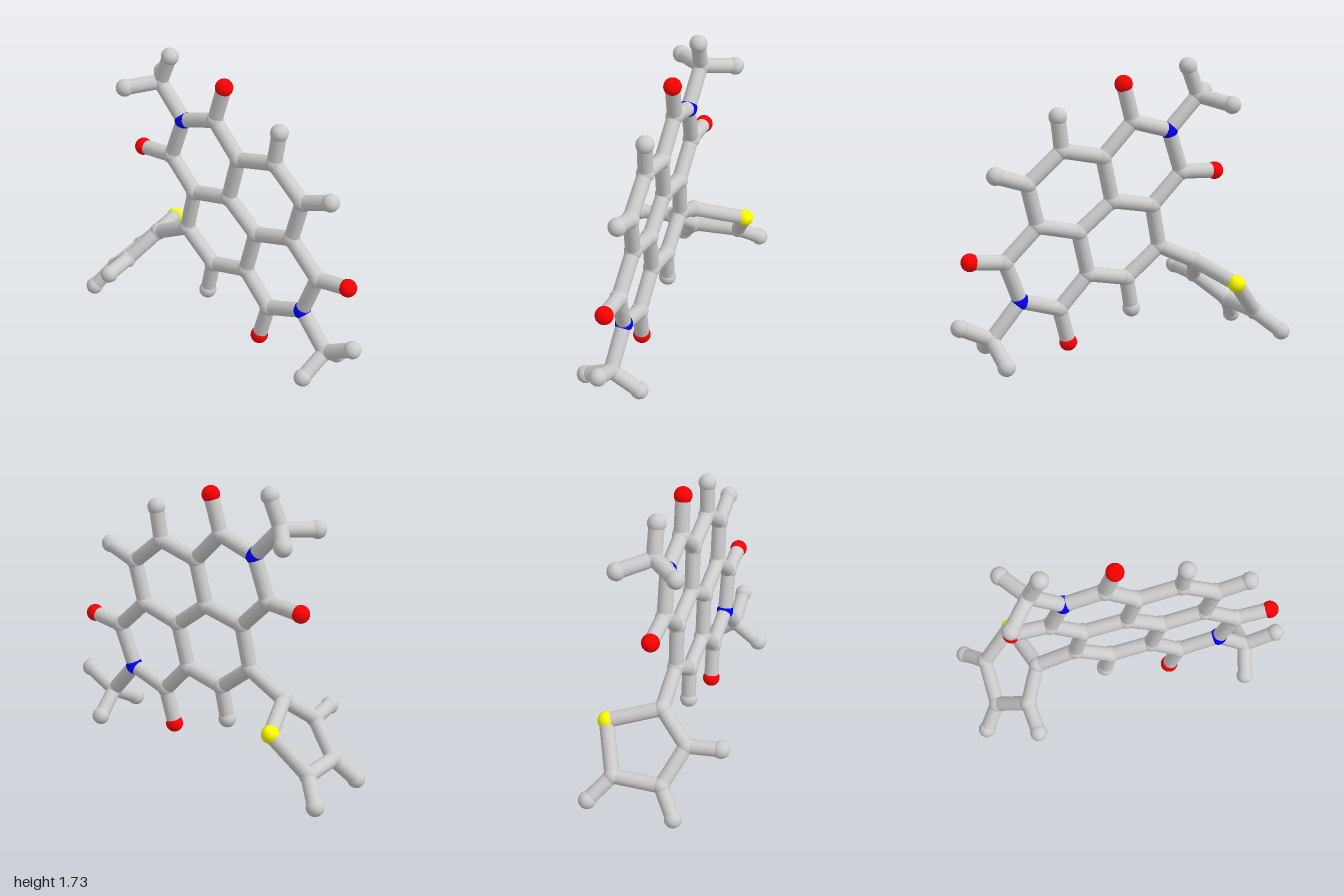
import * as THREE from 'three';

const ATOM_R = 0.051, BOND_R = 0.043;

// The fused ring system lies in one slightly tilted plane
const planeZ = (x, y) => -0.054 - 0.055 * x - 0.038 * y;

// name: [x, y, z?]; without z the atom sits in the ring plane.
// First letter: C carbon, H hydrogen, N nitrogen, O oxygen, S sulphur
const ATOMS = {
  // upper imide ring
  N1: [-0.32, 1.325], C2: [-0.09, 1.40], O2: [-0.03, 1.62], C3: [-0.405, 1.07], O3: [-0.625, 1.05],
  // central rings
  C4: [0.09, 1.215], C5: [0.34, 1.28], H5: [0.365, 1.475], C6: [0.545, 1.11], H6: [0.73, 1.18],
  C7: [0.485, 0.86], C8: [0.235, 0.79], C9: [0.03, 0.95], C10: [-0.225, 0.89],
  C11: [-0.275, 0.635], C12: [-0.07, 0.47], H12: [-0.105, 0.275], C13: [0.175, 0.53],
  // lower imide ring
  C14: [0.68, 0.675], O14: [0.885, 0.705], N2: [0.59, 0.43], C15: [0.35, 0.345], O15: [0.295, 0.13],
  // upper methyl
  C16: [-0.50, 1.51], H16a: [-0.43, 1.685, -0.095], H16b: [-0.615, 1.492, 0.087], H16c: [-0.638, 1.475, -0.24],
  // lower methyl
  C17: [0.765, 0.225], H17a: [0.95, 0.325, -0.116], H17b: [0.747, 0.128, 0.064], H17c: [0.73, 0.112, -0.26],
  // five-sided side ring, twisted out of the plane
  C18: [-0.51, 0.51, -0.05], S1: [-0.645, 0.44, -0.334], C19: [-0.595, 0.36, 0.13], H19: [-0.554, 0.362, 0.322],
  C20: [-0.785, 0.195, 0.055], H20: [-0.87, 0.055, 0.162], C21: [-0.825, 0.21, -0.225], H21: [-0.952, 0.10, -0.325],
};

// Each chain bonds neighbouring atoms
const CHAINS = {
  upperImideRing: 'C4 C2 N1 C3 C10 C9 C4',
  upperRing: 'C4 C5 C6 C7 C8 C9',
  lowerRing: 'C10 C11 C12 C13 C8',
  lowerImideRing: 'C7 C14 N2 C15 C13',
  sideRing: 'C18 S1 C21 C20 C19 C18',
  sideRingLink: 'C11 C18',
  upperMethyl: 'N1 C16 H16a,C16 H16b,C16 H16c',
  lowerMethyl: 'N2 C17 H17a,C17 H17b,C17 H17c',
  oxygenBonds: 'C2 O2,C3 O3,C14 O14,C15 O15',
  hydrogenBonds: 'C5 H5,C6 H6,C12 H12,C19 H19,C20 H20,C21 H21',
};

const ELEMENTS = {
  C: ['carbon', 0xcccccc], H: ['hydrogen', 0xcccccc],
  N: ['nitrogen', 0x0000ff], O: ['oxygen', 0xff0000], S: ['sulphur', 0xffff00],
};

export function createModel() {
  const model = new THREE.Group();
  model.name = 'molecule';
  const grey = new THREE.MeshStandardMaterial({ color: 0xcccccc });
  const materials = {};
  for (const [key, [, color]] of Object.entries(ELEMENTS)) {
    materials[key] = color === 0xcccccc ? grey : new THREE.MeshStandardMaterial({ color });
  }

  // Atoms: equal balls, slightly thicker than the bonds
  const ball = new THREE.SphereGeometry(ATOM_R, 24, 16);
  const points = {};
  const atoms = new THREE.Group();
  atoms.name = 'atoms';
  for (const [id, [x, y, z = planeZ(x, y)]] of Object.entries(ATOMS)) {
    points[id] = new THREE.Vector3(x, y, z);
    const atom = new THREE.Mesh(ball, materials[id[0]]);
    atom.name = ELEMENTS[id[0]][0] + 'Atom';
    atom.position.copy(points[id]);
    atoms.add(atom);
  }
  model.add(atoms);

  // Bonds: a unit stick stretched between two atoms
  const stick = new THREE.CylinderGeometry(BOND_R, BOND_R, 1, 20);
  const up = new THREE.Vector3(0, 1, 0);
  for (const [name, chains] of Object.entries(CHAINS)) {
    const part = new THREE.Group();
    part.name = name;
    for (const chain of chains.split(',')) {
      const ids = chain.split(' ');
      for (let i = 1; i < ids.length; i++) {
        const a = points[ids[i - 1]], b = points[ids[i]];
        const dir = b.clone().sub(a);
        const bond = new THREE.Mesh(stick, grey);
        bond.name = 'bond';
        bond.position.copy(a).lerp(b, 0.5);
        bond.scale.y = dir.length();
        bond.quaternion.setFromUnitVectors(up, dir.normalize());
        part.add(bond);
      }
    }
    model.add(part);
  }
  return model;
}
